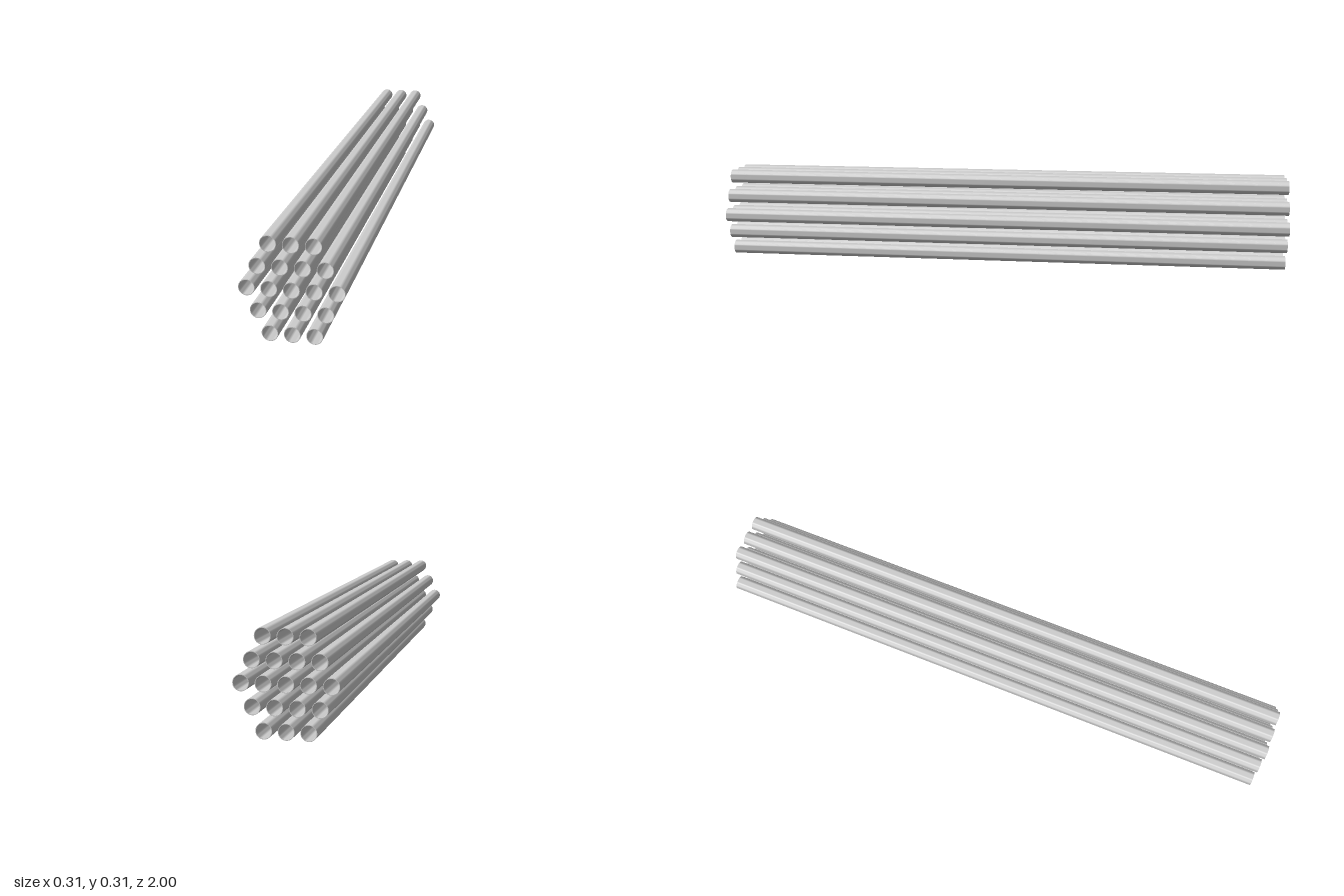
import * as THREE from 'three';
import { toCreasedNormals } from 'three/addons/utils/BufferGeometryUtils.js';

const LENGTH = 2, OUTER = 0.024, INNER = 0.022, PITCH = 0.0643;

// Hollow straight tube along z, centred on its length
function tubeGeometry() {
  const ring = new THREE.Shape().absarc(0, 0, OUTER, 0, Math.PI * 2);
  ring.holes.push(new THREE.Path().absarc(0, 0, INNER, 0, Math.PI * 2, true));
  const geometry = new THREE.ExtrudeGeometry(ring, { depth: LENGTH, bevelEnabled: false, curveSegments: 20 });
  geometry.translate(0, 0, -LENGTH / 2);
  return toCreasedNormals(geometry, Math.PI / 5);
}

export function createModel() {
  const bundle = new THREE.Group();
  bundle.name = 'tubeBundle';
  const geometry = tubeGeometry();
  const material = new THREE.MeshStandardMaterial({ color: 0xcccccc });

  // Hexagonal packing: rows of 3, 4, 5, 4 and 3 tubes, [count, height of centre]
  const rows = [[3, 0.024], [4, 0.091], [5, 0.157], [4, 0.223], [3, 0.29]];
  rows.forEach(([count, y], row) => {
    for (let i = 0; i < count; i++) {
      const tube = new THREE.Mesh(geometry, material);
      tube.name = `tubeRow${row + 1}Number${i + 1}`;
      tube.position.set((i - (count - 1) / 2) * PITCH, y, 0);
      bundle.add(tube);
    }
  });
  return bundle;
}
